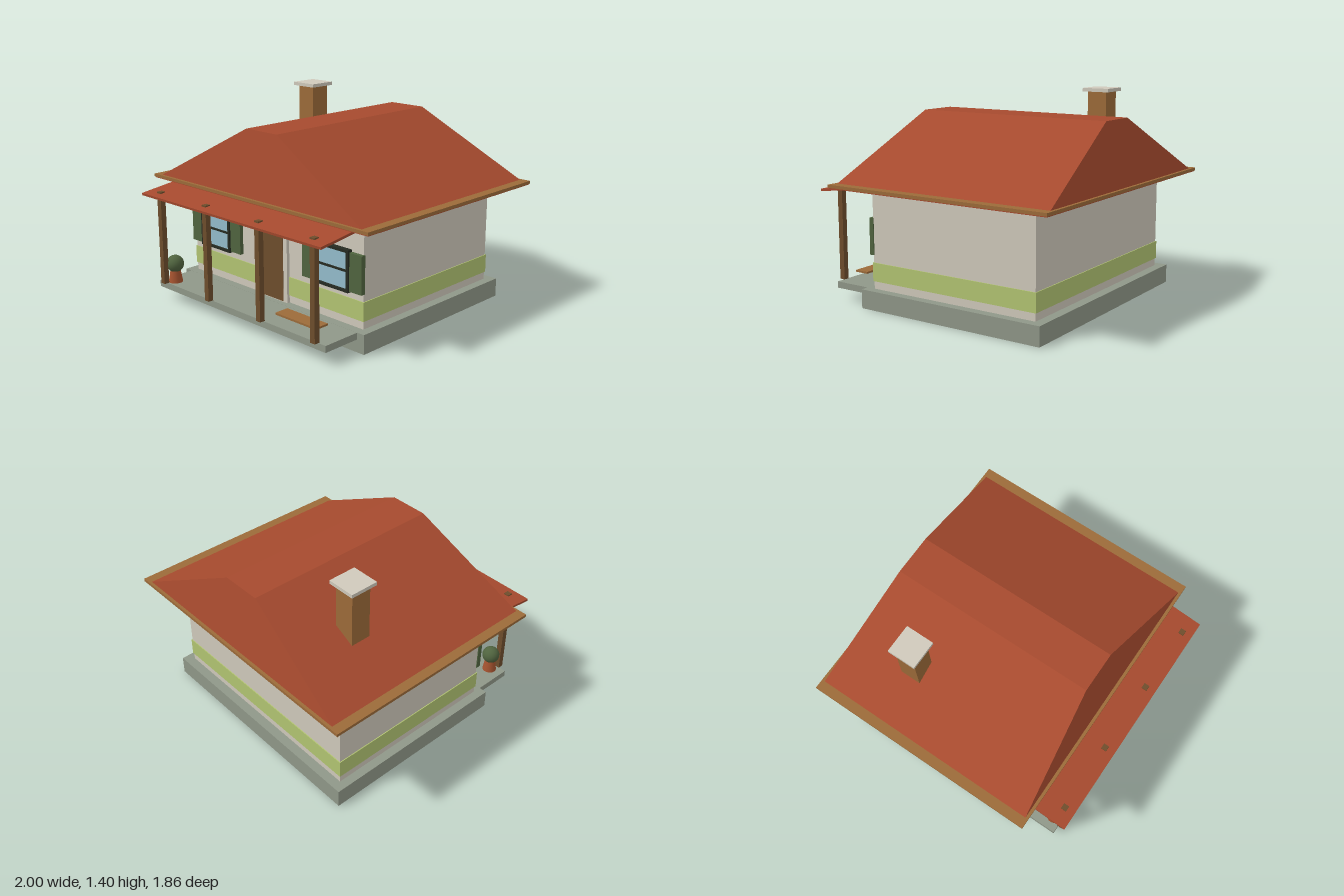
import * as THREE from 'three';

const mat = (name, color) => {
  const m = new THREE.MeshStandardMaterial({ color });
  m.name = name;
  return m;
};

export function createModel() {
  const house = new THREE.Group();
  house.name = 'house';

  const roofRed = mat('roof red', 0xa64a2e);
  const plaster = mat('plaster', 0xcfc9bb);
  const lime = mat('lime band', 0xb2c472);
  const stone = mat('grey stone', 0x8f9788);
  const leaf = mat('leaf green', 0x50643f);
  const dark = mat('dark frame', 0x262b22);
  const glass = mat('window glass', 0x94bccb);
  const wood = mat('dark wood', 0x6e4d2c);
  const tan = mat('tan brown', 0x9c6b39);
  const clay = mat('terracotta', 0xa6532f);

  const add = (name, geometry, material, parent = house) => {
    const mesh = new THREE.Mesh(geometry, material);
    mesh.name = name;
    parent.add(mesh);
    return mesh;
  };
  // Box given by its limits on each axis
  const box = (name, material, x0, x1, y0, y1, z0, z1, parent) => {
    const g = new THREE.BoxGeometry(x1 - x0, y1 - y0, z1 - z0);
    g.translate((x0 + x1) / 2, (y0 + y1) / 2, (z0 + z1) / 2);
    return add(name, g, material, parent);
  };

  // Base, porch floor and walls
  box('foundation', stone, -0.857, 0.857, 0, 0.128, -0.795, 0.58);
  box('porchFloor', stone, -0.8, 0.8, 0.083, 0.127, 0.5, 0.85);
  box('walls', plaster, -0.797, 0.797, 0.12, 0.81, -0.73, 0.52);
  box('wallBand', lime, -0.803, 0.803, 0.18, 0.305, -0.736, 0.526);

  // Door
  box('doorFrame', plaster, -0.153, 0.153, 0.128, 0.665, 0.5, 0.542);
  box('door', wood, -0.118, 0.118, 0.133, 0.62, 0.54, 0.544);

  // Windows with shutters
  for (const side of [-1, 1]) {
    const win = new THREE.Group();
    win.name = side < 0 ? 'rightWindow' : 'leftWindow';
    win.position.x = side * 0.55;
    house.add(win);
    box('glass', glass, -0.14, 0.14, 0.355, 0.605, 0.51, 0.541, win);
    for (const s of [-1, 1]) {
      box('frameSide', dark, s * 0.14 - 0.009, s * 0.14 + 0.009, 0.345, 0.616, 0.51, 0.555, win);
      box('shutter', leaf, s * 0.203 - 0.05, s * 0.203 + 0.05, 0.355, 0.602, 0.515, 0.547, win);
    }
    for (const y of [0.354, 0.607]) box('frameRail', dark, -0.149, 0.149, y - 0.009, y + 0.009, 0.51, 0.555, win);
    box('crossBar', dark, -0.14, 0.14, 0.473, 0.487, 0.51, 0.548, win);
  }

  // Main roof: a box whose top is drawn in towards a short flat ridge
  box('eaves', tan, -1, 1, 0.81, 0.83, -0.93, 0.715);
  box('soffit', roofRed, -0.995, 0.995, 0.804, 0.812, -0.925, 0.71);
  const roof = new THREE.BoxGeometry(2, 1, 2);
  const p = roof.attributes.position;
  for (let i = 0; i < p.count; i++) {
    const top = p.getY(i) > 0;
    const front = p.getZ(i) > 0;
    p.setXYZ(
      i,
      Math.sign(p.getX(i)) * (top ? 0.14 : 0.935),
      top ? 1.25 : 0.829,
      front ? (top ? 0.605 : 0.695) : (top ? -0.82 : -0.91)
    );
  }
  roof.computeVertexNormals();
  add('roof', roof, roofRed);

  // Porch roof, sloping down to the front
  const slope = Math.atan2(0.052, 0.415);
  const porchRoof = add('porchRoof', new THREE.BoxGeometry(1.69, 0.016, 0.42), roofRed);
  porchRoof.position.set(0, 0.778, 0.725);
  porchRoof.rotation.x = slope;

  // Porch posts
  for (const x of [-0.728, -0.253, 0.248, 0.723]) {
    box('porchPost', wood, x - 0.019, x + 0.019, 0.128, 0.777, 0.843, 0.881);
  }

  // Chimney
  box('chimney', tan, -0.625, -0.483, 0.9, 1.38, -0.48, -0.338);
  box('chimneyCap', plaster, -0.652, -0.456, 1.378, 1.402, -0.507, -0.311);

  // Potted bush
  const pot = add('pot', new THREE.CylinderGeometry(0.032, 0.049, 0.1, 20), clay);
  pot.position.set(-0.703, 0.177, 0.79);
  const bush = add('bush', new THREE.SphereGeometry(0.06, 24, 16), leaf);
  bush.position.set(-0.703, 0.257, 0.79);

  // Bench plank
  box('benchSeat', tan, 0.32, 0.672, 0.173, 0.186, 0.7, 0.802);

  return house;
}
